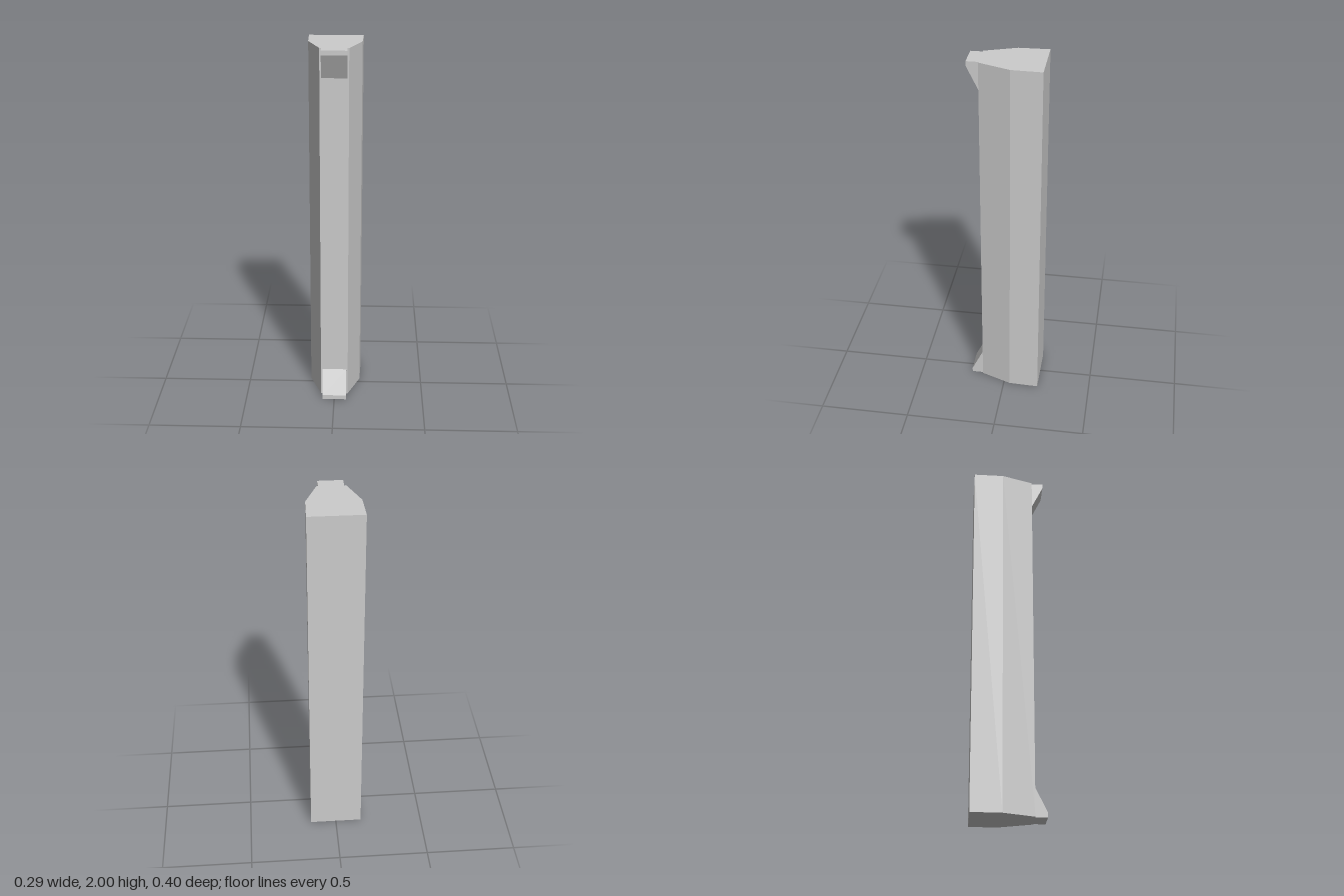
import * as THREE from 'three';

const material = new THREE.MeshStandardMaterial({ color: 0xcccccc, flatShading: true });

const extrude = (points, depth) => new THREE.ExtrudeGeometry(
  new THREE.Shape(points.map(([x, y]) => new THREE.Vector2(x, y))),
  { depth, bevelEnabled: false }
);

export function createModel() {
  const group = new THREE.Group();
  const add = (name, geometry) => {
    const mesh = new THREE.Mesh(geometry, material);
    mesh.name = name;
    group.add(mesh);
  };

  // Tall column: plan outline as [x, -z], raised along y
  const plan = [
    [-0.147, 0.2], [-0.142, 0.035], [-0.077, -0.136],
    [0.075, -0.136], [0.141, 0.035], [0.146, 0.2],
  ];
  add('column', extrude(plan, 2).rotateX(-Math.PI / 2));

  // Wedge lips at both ends of the front face: side outline as [z, y]
  const width = 0.134, back = 0.136, front = 0.2;
  const lip = (end, lipY, slopeY) =>
    extrude([[back, end], [front, end], [front, lipY], [back, slopeY]], width)
      .rotateY(-Math.PI / 2)
      .translate(width / 2, 0, 0);
  add('bottomLip', lip(0, 0.025, 0.158));
  add('topLip', lip(2, 1.975, 1.845));

  return group;
}
